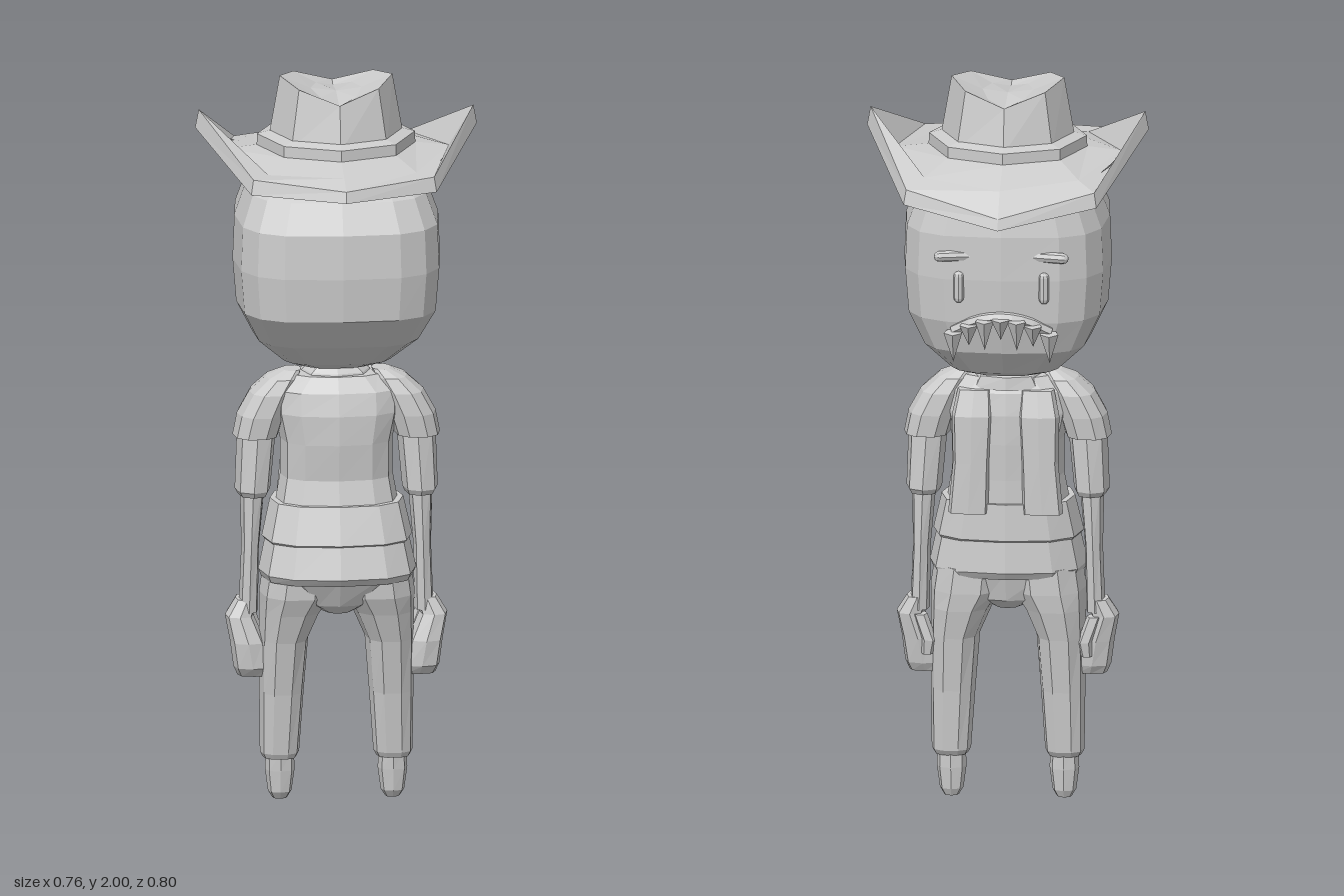
import * as THREE from 'three';

const grey = new THREE.MeshStandardMaterial({ color: 0xcccccc });
grey.name = 'light grey';

// Faceted normals for every geometry
function mesh(name, geometry) {
  const g = geometry.index ? geometry.toNonIndexed() : geometry;
  g.computeVertexNormals();
  const m = new THREE.Mesh(g, grey);
  m.name = name;
  return m;
}

// Skin over rings of points, listed from the bottom round the outside to the top
function skin(rings) {
  const n = rings[0].length, pos = [], idx = [];
  rings.forEach(r => r.forEach(p => pos.push(...p)));
  for (let i = 0; i < rings.length - 1; i++) {
    for (let j = 0; j < n; j++) {
      const a = i * n + j, b = i * n + (j + 1) % n;
      idx.push(a, a + n, b, b, a + n, b + n);
    }
  }
  const cap = (ring, base, top) => {
    const c = pos.length / 3;
    pos.push(...[0, 1, 2].map(k => ring.reduce((s, p) => s + p[k], 0) / n));
    for (let j = 0; j < n; j++) {
      const a = base + j, b = base + (j + 1) % n;
      if (top) idx.push(c, b, a); else idx.push(c, a, b);
    }
  };
  cap(rings[0], 0, false);
  cap(rings[rings.length - 1], (rings.length - 1) * n, true);
  const g = new THREE.BufferGeometry();
  g.setAttribute('position', new THREE.Float32BufferAttribute(pos, 3));
  g.setIndex(idx);
  return g;
}

// Rounded-square sections: [y, centre x, x radius, z back, z front], bottom to top
function loft(name, sections, n = 12, e = 0.8, side = 1) {
  const bend = v => Math.sign(v) * Math.pow(Math.abs(v), e);
  return mesh(name, skin(sections.map(([y, cx, rx, zb, zf]) =>
    Array.from({ length: n }, (_, j) => {
      const a = (j / n) * Math.PI * 2;
      return [cx * side + rx * bend(Math.cos(a)), y, (zb + zf) / 2 + (zb - zf) / 2 * bend(Math.sin(a))];
    }))));
}

function buildHat() {
  const hat = new THREE.Group();
  hat.name = 'hat';
  // Brim corners: x, z, underside y, edge y, inner dish y
  const half = [[0.38, 0, 1.86, 1.91, 1.80], [0.25, 0.305, 1.745, 1.785, 1.785],
    [0, 0.40, 1.74, 1.77, 1.79], [-0.25, 0.305, 1.745, 1.785, 1.785], [-0.38, 0, 1.86, 1.91, 1.80],
    [-0.26, -0.31, 1.72, 1.76, 1.78], [0, -0.40, 1.675, 1.705, 1.765], [0.26, -0.31, 1.72, 1.76, 1.78]];
  const oct = (r, y) => half.map((_, j) => {
    const a = j * Math.PI / 4;
    return [r * Math.cos(a), y, r * Math.sin(a)];
  });
  const scaled = (s, f) => half.map(c => [c[0] * s, f(c), c[1] * s]);
  hat.add(mesh('hatBrim', skin([
    oct(0.2, 1.75), scaled(0.8, c => c[4] - 0.035), scaled(1, c => c[2]),
    scaled(0.975, c => c[3]), scaled(0.8, c => c[4]), oct(0.215, 1.81)])));
  hat.add(mesh('hatBand', skin([oct(0.215, 1.78), oct(0.213, 1.84), oct(0.175, 1.85)])));
  // Crown with a valley running front to back
  const crownTop = oct(0.152, 0).map(([x, , z]) => [x, 1.95 + 0.05 * Math.abs(x) / 0.152, z]);
  hat.add(mesh('hatCrown', skin([oct(0.182, 1.83), crownTop,
    crownTop.map(([x, y, z]) => [x * 0.45, 1.942 + (y - 1.95) * 0.45, z * 0.8])])));
  return hat;
}

function buildHead() {
  const head = new THREE.Group();
  head.name = 'head';
  head.add(loft('skull', [
    [1.20, 0, 0.09, 0.06, -0.13], [1.22, 0, 0.15, 0.105, -0.18], [1.29, 0, 0.225, 0.2, -0.235],
    [1.38, 0, 0.27, 0.275, -0.26], [1.5, 0, 0.28, 0.285, -0.267], [1.62, 0, 0.275, 0.28, -0.265],
    [1.70, 0, 0.245, 0.235, -0.25], [1.75, 0, 0.19, 0.17, -0.19]], 16, 0.6));
  for (const s of [1, -1]) {
    const eye = mesh('eye', new THREE.CapsuleGeometry(0.014, 0.06, 3, 8));
    eye.position.set(s * 0.115, 1.48, -0.257);
    const brow = mesh('eyebrow', new THREE.CapsuleGeometry(0.015, 0.085, 3, 8));
    brow.position.set(s * 0.125, 1.565, -0.252);
    brow.rotation.set(0, s * 0.2, Math.PI / 2);
    head.add(eye, brow);
  }
  // Downturned mouth with pointed teeth
  const arc = t => new THREE.Vector3(t * 0.13, 1.4 - 0.045 * t * t, -0.272 + 0.028 * t * t);
  const curve = new THREE.CatmullRomCurve3([-1, -0.5, 0, 0.5, 1].map(arc));
  head.add(mesh('upperLip', new THREE.TubeGeometry(curve, 10, 0.016, 6)));
  for (let i = -3; i <= 3; i++) {
    const size = i % 2 ? 0.085 : 0.06;
    const tooth = mesh('tooth', new THREE.ConeGeometry(0.026, size, 5));
    tooth.position.copy(arc(i / 3)).add(new THREE.Vector3(0, -size / 2, -0.012));
    tooth.rotation.x = Math.PI - 0.12;
    head.add(tooth);
  }
  return head;
}

function buildArm(s) {
  const arm = new THREE.Group();
  arm.name = s > 0 ? 'leftArm' : 'rightArm';
  arm.add(
    loft('shoulderSleeve', [[1.01, 0.218, 0.062, 0.085, -0.075], [1.07, 0.203, 0.065, 0.09, -0.08],
      [1.13, 0.175, 0.06, 0.085, -0.075], [1.17, 0.145, 0.045, 0.07, -0.06], [1.19, 0.12, 0.025, 0.04, -0.03]], 10, 0.8, s),
    loft('lowerSleeve', [[0.845, 0.225, 0.04, 0.07, -0.06], [0.86, 0.226, 0.048, 0.08, -0.07],
      [1.03, 0.215, 0.053, 0.075, -0.065]], 8, 0.8, s),
    loft('forearm', [[0.52, 0.237, 0.026, 0.045, -0.045], [0.7, 0.232, 0.024, 0.055, -0.05],
      [0.88, 0.226, 0.034, 0.06, -0.05]], 8, 0.8, s),
    loft('hand', [[0.345, 0.222, 0.045, 0.045, -0.02], [0.37, 0.228, 0.05, 0.065, -0.035],
      [0.44, 0.24, 0.047, 0.07, -0.045], [0.51, 0.262, 0.038, 0.055, -0.05],
      [0.555, 0.242, 0.03, 0.04, -0.045]], 8, 0.7, s),
    loft('thumb', [[0.40, 0.215, 0.015, -0.025, -0.055], [0.44, 0.21, 0.02, -0.015, -0.062],
      [0.51, 0.235, 0.02, -0.01, -0.055]], 6, 0.8, s));
  return arm;
}

function buildLeg(s) {
  const leg = new THREE.Group();
  leg.name = s > 0 ? 'leftLeg' : 'rightLeg';
  leg.add(
    loft('trouserLeg', [[0.115, 0.153, 0.045, 0.05, -0.035], [0.13, 0.153, 0.053, 0.058, -0.045],
      [0.3, 0.148, 0.06, 0.08, -0.06], [0.45, 0.142, 0.066, 0.11, -0.08],
      [0.53, 0.125, 0.084, 0.135, -0.095], [0.58, 0.108, 0.102, 0.155, -0.1], [0.65, 0.1, 0.1, 0.16, -0.1]], 10, 0.8, s),
    loft('foot', [[0, 0.152, 0.02, 0.02, -0.02], [0.02, 0.152, 0.032, 0.035, -0.03],
      [0.08, 0.152, 0.04, 0.042, -0.035], [0.13, 0.152, 0.038, 0.045, -0.035]], 8, 0.8, s));
  return leg;
}

function buildTorso() {
  const torso = new THREE.Group();
  torso.name = 'torso';
  torso.add(
    loft('neck', [[1.12, 0, 0.07, 0.06, -0.06], [1.23, 0, 0.065, 0.05, -0.06]], 8),
    loft('collar', [[1.15, 0, 0.11, 0.08, -0.1], [1.185, 0, 0.09, 0.07, -0.095], [1.2, 0, 0.07, 0.055, -0.065]], 8),
    loft('shirt', [[0.8, 0, 0.17, 0.14, -0.1], [0.9, 0, 0.152, 0.115, -0.1], [1.0, 0, 0.152, 0.125, -0.105],
      [1.08, 0, 0.17, 0.125, -0.105], [1.14, 0, 0.17, 0.11, -0.095], [1.18, 0, 0.12, 0.08, -0.075]], 12, 0.75),
    loft('shirtHem', [[0.72, 0, 0.19, 0.16, -0.1], [0.735, 0, 0.203, 0.18, -0.115],
      [0.835, 0, 0.18, 0.145, -0.11]], 12, 0.75),
    loft('lowerHem', [[0.625, 0, 0.205, 0.185, -0.105], [0.645, 0, 0.213, 0.2, -0.118],
      [0.76, 0, 0.188, 0.165, -0.108]], 12, 0.75),
    loft('seat', [[0.53, 0, 0.04, 0.1, -0.04], [0.56, 0, 0.1, 0.145, -0.08], [0.64, 0, 0.19, 0.185, -0.1]], 12));
  // Open vest panels on the chest
  for (const s of [1, -1]) {
    torso.add(loft('vestPanel', [[0.81, 0.1, 0.055, -0.06, -0.12], [0.95, 0.092, 0.05, -0.06, -0.12],
      [1.08, 0.09, 0.055, -0.06, -0.12], [1.15, 0.085, 0.045, -0.05, -0.098]], 8, 0.5, s));
  }
  return torso;
}

export function createModel() {
  const model = new THREE.Group();
  model.name = 'hattedFigure';
  model.add(buildHat(), buildHead(), buildTorso());
  for (const s of [1, -1]) model.add(buildArm(s), buildLeg(s));
  return model;
}
